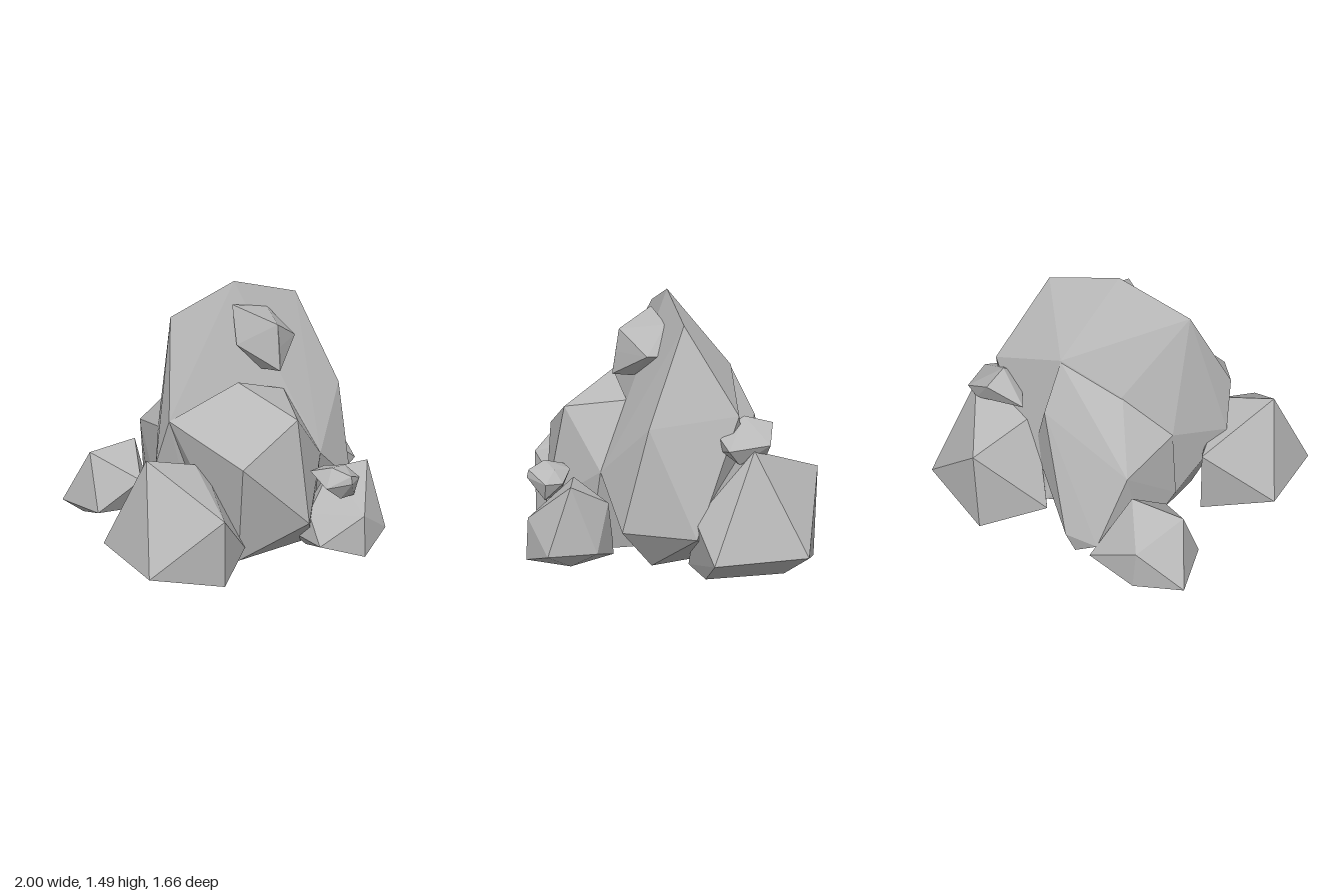
import * as THREE from 'three';
import { ConvexGeometry } from 'three/addons/geometries/ConvexGeometry.js';

const stone = new THREE.MeshStandardMaterial({ color: 0xb8b8b8, flatShading: true, side: THREE.DoubleSide });
stone.name = 'grey stone';

// Each rock is the faceted convex hull of a few corner points
const rocks = {
  mainBoulder: [
    [0, 1.49, -0.05], [-0.44, 1.35, -0.05], [0.45, 1.36, -0.05],        // crest
    [-0.61, 0.83, 0.18], [0.61, 0.82, 0.18], [0.68, 0.89, -0.31],       // shoulders
    [0.2, 1.07, -0.385], [-0.155, 0.89, -0.325], [-0.43, 0.64, -0.22],  // back slope
    [0.25, 0.13, -0.53], [0.3, 0.5, 0.4],
    [-0.64, 0.55, 0.08], [0.6, 0.23, 0.33], [0.8, 0.23, -0.05],         // skirt
    [0.53, 0, 0.15], [-0.4, 0, 0.15], [0.4, 0, -0.35], [-0.35, 0, -0.2],
  ],
  frontBoulder: [
    [-0.18, 0.99, 0.24], [0.16, 0.88, 0.22], [0, 0.82, 0.56], [-0.4, 0.62, 0.59],
    [-0.61, 0.83, 0.18], [0.3, 0.5, 0.4], [0, 0.23, 0.68], [-0.33, 0, 0.45],
    [0.2, 0, 0.45], [-0.3, 0, 0.1], [0.2, 0, 0.1],
  ],
  backBoulder: [
    [-0.155, 0.89, -0.315], [-0.43, 0.64, -0.22], [0, 0.465, -0.565], [-0.325, 0.55, -0.59],
    [0.2, 1.06, -0.385], [0.24, 0.78, -0.52], [0.38, 0.4, -0.41], [0, 0.12, -0.74],
    [-0.21, 0.12, -0.75], [-0.05, 0, -0.72], [-0.45, 0.2, -0.2], [-0.35, 0, -0.45],
    [0.25, 0, -0.4],
  ],
  rightSideRock: [
    [-0.84, 0.69, 0.3], [-0.52, 0.59, 0.3], [-0.45, 0.48, 0.35], [-1, 0.12, 0.56],
    [-0.98, 0.14, 0.05], [-0.57, 0.45, -0.11], [-0.58, 0.39, 0.67], [-0.58, 0, 0.67],
    [-0.32, 0.1, 0.5], [-0.76, 0, 0.45], [-0.76, 0, 0.1], [-0.55, 0, -0.05],
  ],
  leftBackRock: [
    [0.79, 0.72, -0.37], [0.4, 0.6, -0.35], [0.555, 0.54, -0.81], [0.985, 0.15, -0.635],
    [1, 0.145, -0.1], [0.75, 0.33, -0.05], [0.2, 0.13, -0.6], [0.555, 0, -0.8],
    [0.8, 0, -0.55], [0.8, 0, -0.1], [0.55, 0, -0.06],
  ],
  backRock: [
    [-0.36, 0.43, -0.6], [-0.68, 0.41, -0.6], [-0.5, 0.25, -0.83], [-0.78, 0.06, -0.785],
    [-0.18, 0.07, -0.785], [-0.72, 0.07, -0.455], [-0.465, 0.25, -0.37],
    [-0.48, 0, -0.83], [-0.7, 0, -0.67], [-0.3, 0, -0.5],
  ],
  frontSmallRock: [
    [0.49, 0.48, 0.6], [0.26, 0.47, 0.55], [0.29, 0.25, 0.82], [0.29, 0, 0.835],
    [0.525, 0.09, 0.74], [0.525, 0.09, 0.46], [0.04, 0.09, 0.73], [0.06, 0.25, 0.6],
    [0.38, 0.34, 0.37], [0.04, 0.09, 0.45], [0.3, 0.06, 0.33], [0.3, 0, 0.33],
    [0.45, 0, 0.6], [0.12, 0, 0.5],
  ],
  upperPebble: [
    [-0.07, 1.38, 0.03], [0.2, 1.32, 0], [0.09, 1.285, 0.25], [0.31, 1.16, 0.13],
    [0.31, 1.16, 0.06], [-0.09, 1.16, 0.1], [0.09, 1.155, 0.27], [0.08, 1.02, 0.29],
    [0.14, 1.02, 0.18], [0.04, 1.01, 0.16], [0.1, 1.1, -0.1],
  ],
  leftPebble: [
    [0.6, 0.87, -0.36], [0.62, 0.83, -0.52], [0.405, 0.73, -0.48], [0.79, 0.745, -0.46],
    [0.82, 0.73, -0.22], [0.7, 0.77, -0.2], [0.77, 0.64, -0.29], [0.6, 0.66, -0.4],
    [0.55, 0.78, -0.25], [0.74, 0.67, -0.45], [0.7, 0.7, -0.21],
  ],
  frontPebble: [
    [0.14, 0.545, 0.7], [0.27, 0.52, 0.66], [0.2, 0.465, 0.81], [0.33, 0.45, 0.72],
    [0.32, 0.45, 0.62], [0.07, 0.445, 0.74], [0.08, 0.5, 0.58], [0.2, 0.5, 0.56],
    [0.2, 0.51, 0.8], [0.29, 0.35, 0.72], [0.175, 0.36, 0.74], [0.22, 0.37, 0.62],
  ],
};

// Hull without the faces that rest on the ground, so the rock is open below
function openHull(corners) {
  const hull = new ConvexGeometry(corners.map((c) => new THREE.Vector3(...c)));
  const p = hull.attributes.position;
  const index = [];
  for (let i = 0; i < p.count; i += 3) {
    if (Math.max(p.getY(i), p.getY(i + 1), p.getY(i + 2)) > 0.001) index.push(i, i + 1, i + 2);
  }
  hull.setIndex(index);
  return hull.toNonIndexed();
}

export function createModel() {
  const group = new THREE.Group();
  group.name = 'rockPile';
  for (const [name, corners] of Object.entries(rocks)) {
    const rock = new THREE.Mesh(openHull(corners), stone);
    rock.name = name;
    group.add(rock);
  }
  return group;
}
